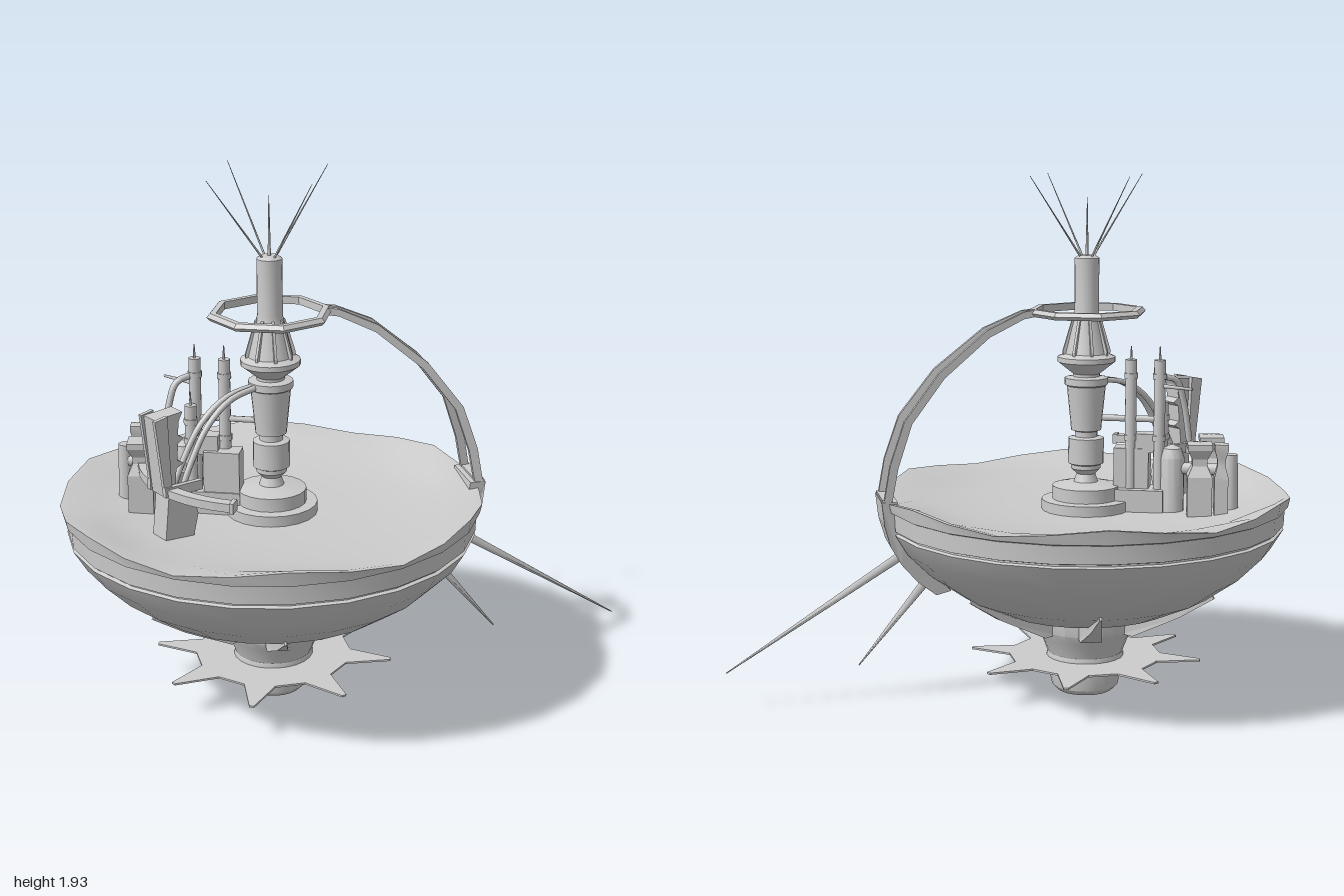
import * as THREE from 'three';
import { toCreasedNormals } from 'three/addons/utils/BufferGeometryUtils.js';

const mat = new THREE.MeshStandardMaterial({ color: 0xcccccc });
const V = (x, y, z) => new THREE.Vector3(x, y, z);

function add(parent, name, geo, x = 0, y = 0, z = 0, ry = 0) {
  const m = new THREE.Mesh(geo, mat);
  m.name = name;
  m.position.set(x, y, z);
  m.rotation.y = ry;
  parent.add(m);
  return m;
}
const lathe = (pts, seg) =>
  toCreasedNormals(new THREE.LatheGeometry(pts.map(p => new THREE.Vector2(...p)), seg), 0.55);
const box = (w, h, d) => new THREE.BoxGeometry(w, h, d);
// Plate with its outline in x-y, centred on z = 0
function plate(pts, depth) {
  const shape = new THREE.Shape(pts.map(p => new THREE.Vector2(...p)));
  return new THREE.ExtrudeGeometry(shape, { depth, bevelEnabled: false }).translate(0, 0, -depth / 2);
}
// Move vertices by a rule
function warp(geo, rule) {
  const p = geo.attributes.position, v = V(0, 0, 0);
  for (let i = 0; i < p.count; i++) {
    v.fromBufferAttribute(p, i);
    rule(v);
    p.setXYZ(i, v.x, v.y, v.z);
  }
  geo.computeVertexNormals();
  return geo;
}
// Tapered rod between two points
function rod(parent, name, a, b, r0, r1, sides = 6) {
  const d = b.clone().sub(a);
  const m = add(parent, name, new THREE.CylinderGeometry(r1, r0, d.length(), sides));
  m.position.copy(a).add(b).multiplyScalar(0.5);
  m.quaternion.setFromUnitVectors(V(0, 1, 0), d.normalize());
}
const tube = (pts, r) => new THREE.TubeGeometry(new THREE.CatmullRomCurve3(pts), 16, r, 6);

function buildHull(g) {
  // Bowl and wavy rim with a shallow dished deck
  const hull = new THREE.LatheGeometry([
    [0, 0.29], [0.18, 0.29], [0.33, 0.325], [0.48, 0.395], [0.6, 0.48], [0.69, 0.57], [0.735, 0.645],
    [0.722, 0.65], [0.722, 0.656], [0.735, 0.66], [0.738, 0.725], [0.75, 0.73], [0.757, 0.764],
    [0.735, 0.762], [0.64, 0.735], [0.5, 0.71], [0.3, 0.698], [0, 0.695],
  ].map(p => new THREE.Vector2(...p)), 24);
  warp(hull, v => {
    if (v.y > 0.75) v.y += 0.018 * Math.cos(6 * Math.atan2(v.z, v.x));
  });
  add(g, 'hull', toCreasedNormals(hull, 0.5));

  // Neck and nozzle with a recessed mouth
  add(g, 'neck', lathe([[0, 0.05], [0.05, 0.05], [0.06, 0.012], [0.105, 0], [0.125, 0.02], [0.148, 0.125],
    [0.142, 0.15], [0.165, 0.21], [0.185, 0.245], [0.185, 0.31]], 24));

  // Spiked collar
  const pts = [], n = 8;
  for (let i = 0; i < n; i++) {
    const a = (i / n) * Math.PI * 2;
    for (const [da, r] of [[-0.2, 0.285], [-0.02, 0.437], [0.02, 0.437], [0.2, 0.285]])
      pts.push([r * Math.cos(a + da), r * Math.sin(a + da)]);
  }
  add(g, 'spikedCollar', plate(pts, 0.007).rotateX(-Math.PI / 2), 0, 0.13);

  // Tapering buttresses under the bowl
  for (let i = 0; i < 6; i++) {
    const fin = plate([[0.17, 0.24], [0.21, 0.235], [0.39, 0.325], [0.515, 0.405], [0.5, 0.43], [0.17, 0.31]], 0.08);
    warp(fin, v => { v.z *= 1.05 - Math.max(0, v.x - 0.2) * 3; });
    add(g, 'buttress', fin, 0, 0, 0, (i * Math.PI) / 3);
  }
}

function buildColumn(g) {
  add(g, 'column', lathe([[0, 0.68], [0.165, 0.68], [0.165, 0.735], [0.125, 0.737], [0.125, 0.786], [0.09, 0.793],
    [0.045, 0.8], [0.035, 0.83], [0.055, 0.85], [0.055, 0.865], [0.066, 0.87], [0.066, 0.965], [0.042, 0.97],
    [0.042, 0.99], [0.056, 0.995], [0.058, 1.02], [0.072, 1.16], [0.08, 1.165], [0.08, 1.19], [0.05, 1.195],
    [0.05, 1.205], [0.107, 1.25], [0.107, 1.268], [0.08, 1.28], [0.048, 1.41], [0.045, 1.43], [0.045, 1.63],
    [0.03, 1.64], [0, 1.64]], 20));
  // Sloping ribs of the upper cone
  for (let i = 0; i < 8; i++)
    add(g, 'coneRib', plate([[0.04, 1.27], [0.088, 1.27], [0.09, 1.29], [0.054, 1.41], [0.04, 1.42]], 0.01),
      0, 0, 0, ((i + 0.5) * Math.PI) / 4);

  // Aerials
  for (let i = 0; i < 4; i++) {
    const a = (i * Math.PI) / 2, c = Math.cos(a), s = Math.sin(a);
    rod(g, 'aerial', V(0.025 * c, 1.63, 0.025 * s), V(0.252 * c, 1.93, 0.252 * s), 0.004, 0.001);
  }
  rod(g, 'centreAerial', V(0, 1.63, 0), V(0, 1.77, 0), 0.006, 0.003);
  rod(g, 'centreAerialTip', V(0, 1.77, 0), V(0, 1.85, 0), 0.003, 0.001);

  // Eight-sided ring
  const ring = lathe([[0.19, 1.42], [0.212, 1.42], [0.224, 1.433], [0.212, 1.447], [0.19, 1.447], [0.19, 1.42]], 8);
  add(g, 'ring', ring.rotateY(Math.PI / 8));
}

function buildBrace(g) {
  const brace = new THREE.Group();
  brace.name = 'brace';
  brace.rotation.y = -Math.PI / 8;
  g.add(brace);
  // Two arched rails spreading outward from the ring
  const outer = [[0.2, 1.446], [0.24, 1.44], [0.38, 1.378], [0.56, 1.23], [0.69, 1.06], [0.745, 0.9], [0.772, 0.75]];
  const inner = [[0.742, 0.75], [0.715, 0.89], [0.662, 1.05], [0.54, 1.21], [0.37, 1.352], [0.24, 1.414], [0.2, 1.42]];
  for (const s of [-1, 1])
    add(brace, 'archRail', warp(plate([...outer, ...inner], 0.02), v => { v.z += s * (0.018 + (v.x - 0.2) * 0.115); }));
  add(brace, 'railFoot', box(0.035, 0.025, 0.18), 0.757, 0.765);

  // Clamp hugging the bowl
  const clamp = plate([[0.778, 0.77], [0.72, 0.77], [0.7, 0.62], [0.6, 0.5], [0.52, 0.42], [0.575, 0.405],
    [0.645, 0.46], [0.705, 0.53], [0.745, 0.6], [0.768, 0.68]], 0.19);
  add(brace, 'clamp', warp(clamp, v => { v.z *= 0.55 + 0.45 * Math.min(1, (v.y - 0.4) / 0.3); }));
  rod(brace, 'longSpike', V(0.68, 0.56, 0), V(1.345, 0.14, 0), 0.018, 0.002, 4);
  rod(brace, 'shortSpike', V(0.6, 0.455, 0), V(0.86, 0.14, 0), 0.018, 0.002, 4);
}

function buildMachinery(g) {
  // Flat curved handrail
  const rail = [];
  for (const [r, dir] of [[0.475, 1], [0.435, -1]])
    for (let i = 0; i <= 10; i++) {
      const a = Math.PI * (1.025 + dir * (i / 10 - 0.5) * 0.37);
      rail.push([r * Math.cos(a), r * Math.sin(a)]);
    }
  add(g, 'handrail', plate(rail, 0.03).rotateX(-Math.PI / 2), 0, 0.885);
  add(g, 'handrailEnd', box(0.05, 0.038, 0.015), -0.355, 0.885, 0.285, 0.7);

  // Upright console with a notched back
  const con = new THREE.Group();
  con.name = 'console';
  g.add(con);
  add(con, 'consoleBase', plate([[-0.475, 0.7], [-0.36, 0.7], [-0.34, 0.78], [-0.36, 0.86], [-0.43, 0.9], [-0.455, 0.89]], 0.085));
  add(con, 'consoleBack', plate([[-0.475, 0.87], [-0.425, 0.87], [-0.42, 0.96], [-0.39, 0.975], [-0.415, 0.99],
    [-0.41, 1.05], [-0.385, 1.065], [-0.41, 1.08], [-0.405, 1.13], [-0.39, 1.16], [-0.5, 1.15]], 0.07));
  for (const s of [-1, 1]) {
    add(con, 'consoleSide', plate([[-0.48, 0.9], [-0.45, 0.9], [-0.46, 1.16], [-0.51, 1.15]], 0.016), 0, 0, s * 0.045);
    add(con, 'consoleArm', box(0.15, 0.035, 0.02), -0.405, 0.89, s * 0.05);
    // Arched conduits to the column
    add(g, 'archConduit', tube([V(-0.4, 0.86, s * 0.026), V(-0.36, 0.95, s * 0.024), V(-0.28, 1.08, s * 0.02),
      V(-0.18, 1.155, s * 0.015), V(-0.05, 1.18, s * 0.01)], 0.011));
  }

  // Square waisted canisters on blocks
  const canister = (x, z, w) => {
    const r = w * 0.7071;
    const geo = new THREE.LatheGeometry([[0, 0.83], [r, 0.83], [r, 0.85], [r * 0.6, 0.89], [r * 0.62, 0.915],
      [r, 0.95], [r, 0.97], [0, 0.975]].map(p => new THREE.Vector2(...p)), 4);
    add(g, 'canister', toCreasedNormals(geo, 0.3), x, 0, z, 0.15);
    add(g, 'canisterBlock', box(w, 0.15, w), x, 0.765, z, 0.93);
  };
  canister(-0.25, -0.358, 0.09);
  canister(-0.385, -0.262, 0.09);
  canister(-0.305, -0.415, 0.05);
  add(g, 'valve', new THREE.CylinderGeometry(0.026, 0.032, 0.23, 10), -0.375, 0.805, -0.385);
  rod(g, 'canisterLink', V(-0.37, 0.86, -0.37), V(-0.22, 0.86, -0.22), 0.022, 0.022, 8);
  add(g, 'domeTank', lathe([[0, 0.69], [0.045, 0.69], [0.045, 0.9], [0.034, 0.935], [0, 0.95]], 12), -0.23, 0, -0.225);

  // Pump housings between the tank and the column
  add(g, 'pumpHousing', box(0.13, 0.24, 0.08), -0.14, 0.81, -0.1, Math.PI / -4);
  add(g, 'pumpCap', box(0.07, 0.07, 0.06), -0.17, 0.95, -0.14, Math.PI / -4);
  add(g, 'pumpFoot', box(0.19, 0.09, 0.12), -0.15, 0.735, -0.13, Math.PI / -4);

  // Tall pipes with collars and whip tips
  for (const [x, z, top] of [[-0.195, -0.19, 1.26], [-0.12, -0.115, 1.26], [-0.235, -0.16, 1.1]]) {
    rod(g, 'pipe', V(x, 0.7, z), V(x, top, z), 0.022, 0.022, 10);
    for (const y of [0.97, top - 0.06])
      add(g, 'pipeCollar', new THREE.CylinderGeometry(0.026, 0.026, 0.02, 10), x, y, z);
    rod(g, 'whip', V(x, top, z), V(x, top + 0.05, z), 0.005, 0.002);
  }
  // Bent feed pipe and side bracket
  add(g, 'feedPipe', tube([V(-0.33, 0.95, -0.2), V(-0.3, 1.1, -0.2), V(-0.265, 1.18, -0.2), V(-0.19, 1.2, -0.19)], 0.012));
  rod(g, 'crossPipe', V(-0.195, 1.165, -0.19), V(-0.235, 1.165, -0.33), 0.008, 0.005);
  rod(g, 'pipeBrace', V(-0.195, 1.04, -0.19), V(-0.04, 1.04, -0.03), 0.012, 0.012);
}

export function createModel() {
  const model = new THREE.Group();
  const g = new THREE.Group();
  g.name = 'vessel';
  g.position.x = -0.245;
  model.add(g);
  buildHull(g);
  buildColumn(g);
  buildBrace(g);
  buildMachinery(g);
  return model;
}
